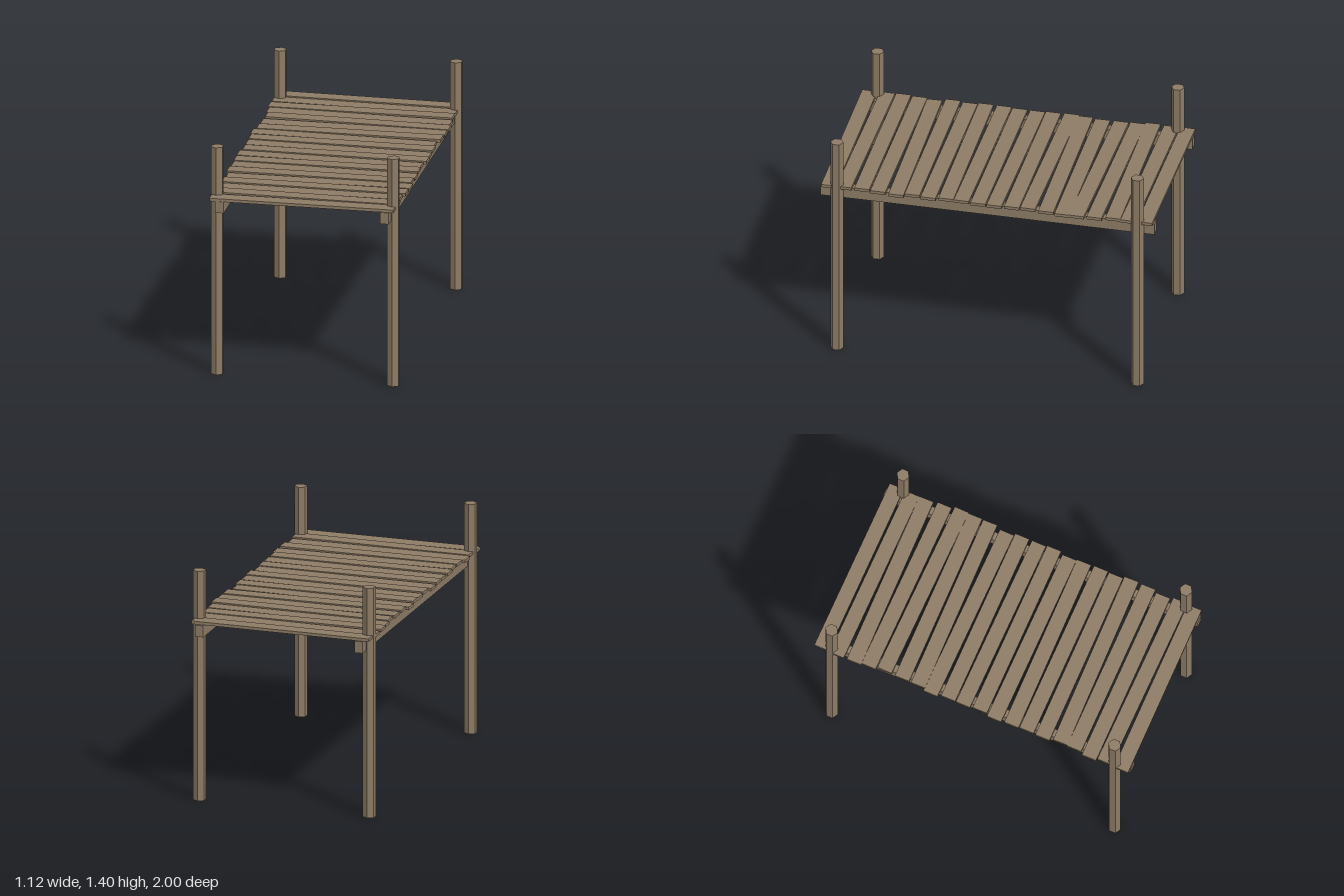
import * as THREE from 'three';

export function createModel() {
  const group = new THREE.Group();
  group.name = 'woodenDock';
  const wood = new THREE.MeshStandardMaterial({ color: 0x8d7b65, flatShading: true });
  wood.name = 'weatheredWood';

  const add = (name, geometry, x, y, z) => {
    const mesh = new THREE.Mesh(geometry, wood);
    mesh.name = name;
    mesh.position.set(x, y, z);
    group.add(mesh);
    return mesh;
  };

  // Hexagonal corner posts and the two long beams under the deck
  const postGeometry = new THREE.CylinderGeometry(0.039, 0.039, 1.4, 6);
  const beamGeometry = new THREE.BoxGeometry(0.05, 0.07, 2);
  for (const side of [-1, 1]) {
    const label = side > 0 ? 'left' : 'right';
    add(label + 'Beam', beamGeometry, side * 0.492, 1.056, 0);
    add(label + 'FrontPost', postGeometry, side * 0.525, 0.7, 0.9);
    add(label + 'BackPost', postGeometry, side * 0.525, 0.7, -0.9);
  }

  // Deck planks from back to front: [sideways shift, z skew across the deck]
  const planks = [
    [-0.005, 0.006], [-0.01, 0.008], [-0.01, -0.012], [0, 0.011], [0.012, 0.018],
    [0.008, -0.008], [0.005, -0.014], [-0.012, 0.013], [0, -0.002], [0, 0.01],
    [0.005, 0], [-0.01, 0.006], [-0.005, -0.012], [0, 0.001], [-0.005, -0.006],
    [0.01, -0.02], [0.005, 0], [-0.01, -0.002], [0, 0.01], [-0.005, -0.006],
  ];
  const plankGeometry = new THREE.BoxGeometry(1.096, 0.018, 0.09);
  planks.forEach(([shift, skew], i) => {
    const y = i % 2 ? 1.099 : 1.103;
    const plank = add('plank' + (i + 1), plankGeometry, shift, y, -0.95 + i * 0.1);
    plank.rotation.y = -Math.atan2(skew, 1.096);
  });

  return group;
}
